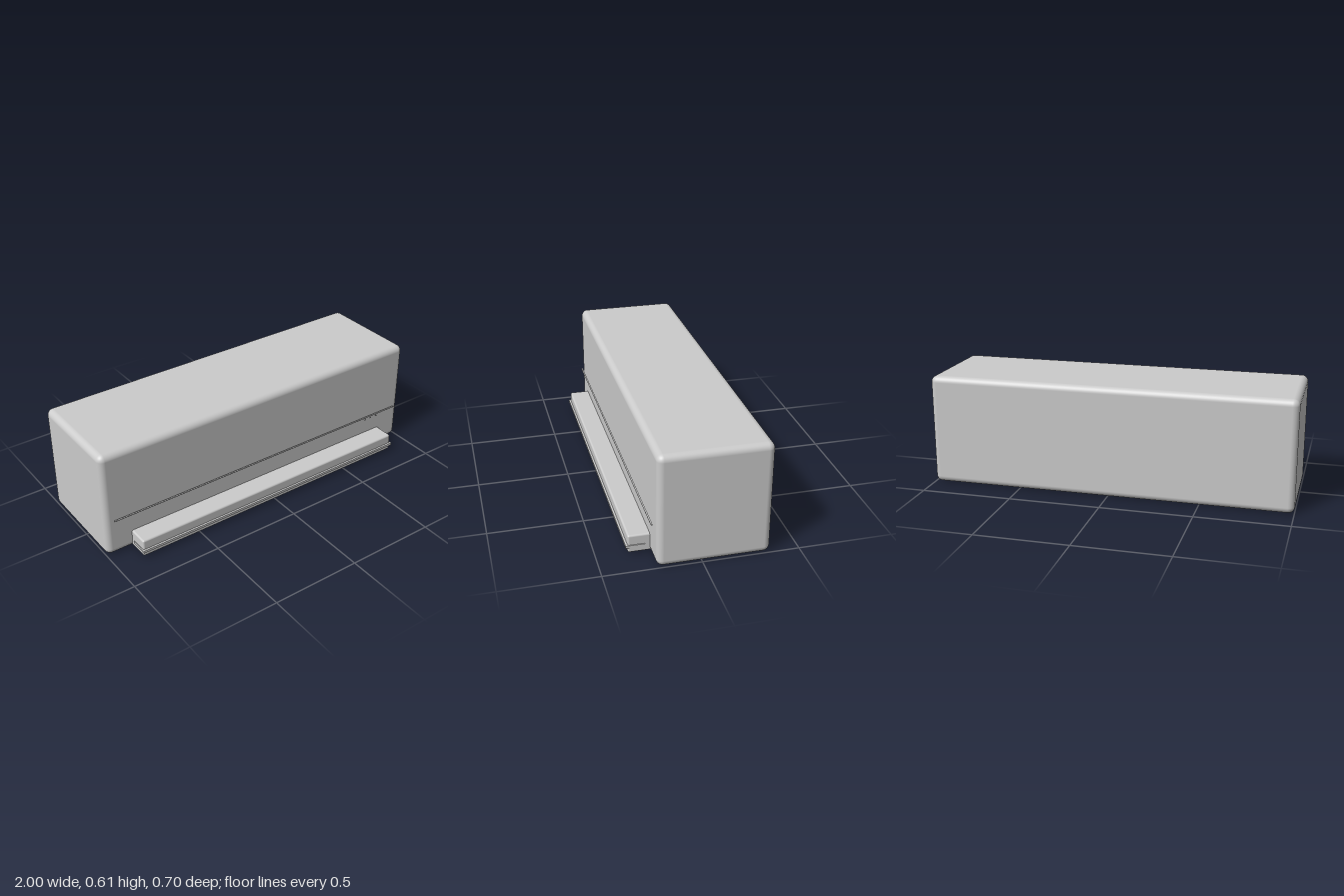
import * as THREE from 'three';
import { RoundedBoxGeometry } from 'three/addons/geometries/RoundedBoxGeometry.js';

export function createModel() {
  const group = new THREE.Group();
  const material = new THREE.MeshStandardMaterial({ color: 0xcccccc });

  function add(name, geometry, x, y, z) {
    const mesh = new THREE.Mesh(geometry, material);
    mesh.name = name;
    mesh.position.set(x, y, z);
    group.add(mesh);
    return mesh;
  }

  // Main housing of the wall-mounted air conditioner
  add('housing', new RoundedBoxGeometry(2, 0.609, 0.578, 4, 0.035), 0, 0.3055, -0.061);

  // Air outlet along the lower front edge
  add('airOutlet', new RoundedBoxGeometry(1.7, 0.098, 0.2, 4, 0.01), 0, 0.057, 0.24);

  // Horizontal louver passing through the outlet
  add('louver', new THREE.BoxGeometry(1.71, 0.014, 0.099), 0, 0.045, 0.3015);

  // Thin trim strip just in front of the housing
  add('trimStrip', new THREE.BoxGeometry(1.9, 0.004, 0.008), 0, 0.22, 0.243);

  // Row of three small indicator lights
  const light = new THREE.CylinderGeometry(0.004, 0.004, 0.004, 16).rotateX(Math.PI / 2);
  for (let i = 0; i < 3; i++) {
    add(`indicatorLight${i + 1}`, light, 0.737 + i * 0.043, 0.198, 0.234);
  }

  return group;
}
